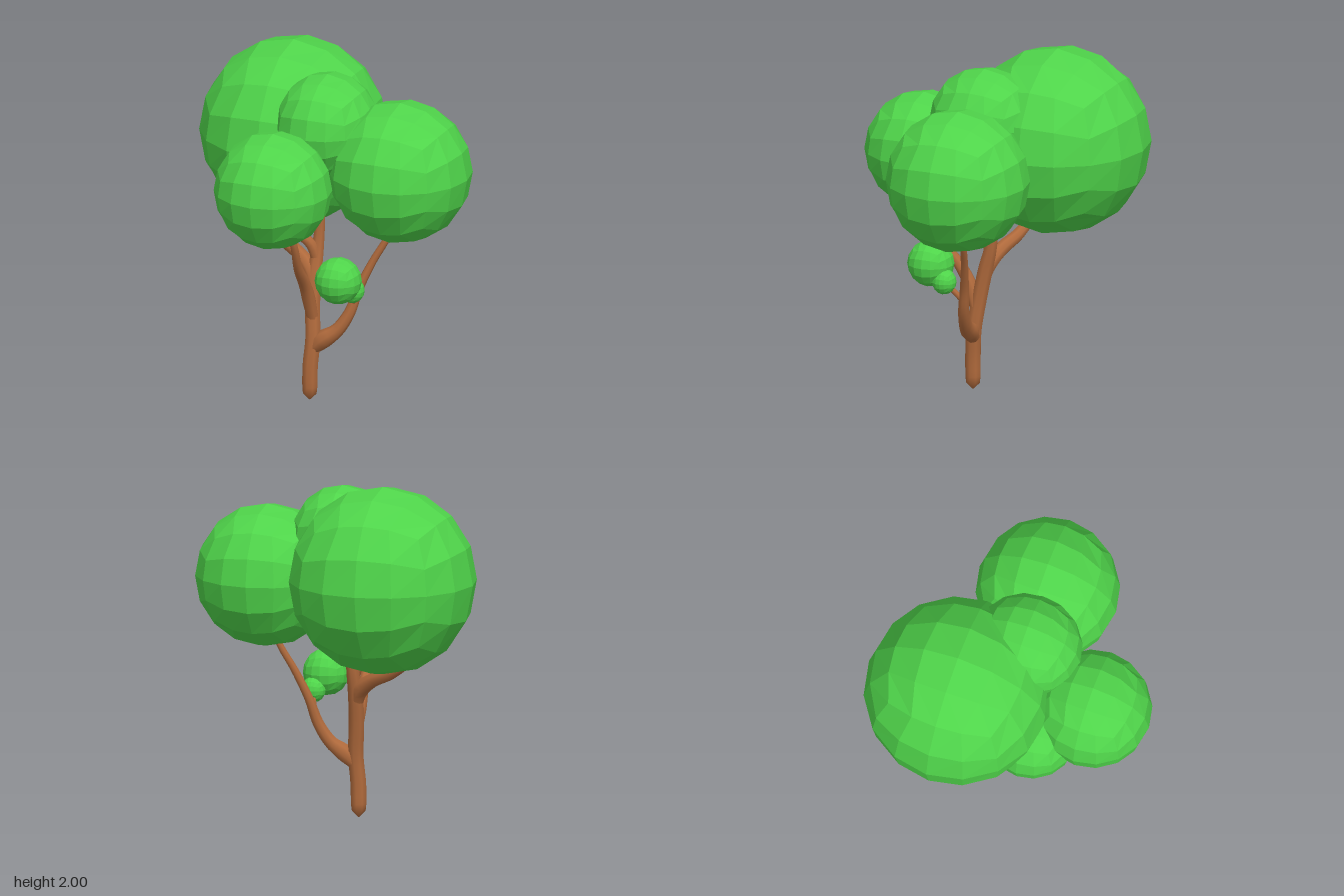
import * as THREE from 'three';
import { mergeVertices } from 'three/addons/utils/BufferGeometryUtils.js';

const leafMaterial = new THREE.MeshStandardMaterial({ color: 0x4fd44a, flatShading: true });
const barkMaterial = new THREE.MeshStandardMaterial({ color: 0xb06a3c });

// Faceted ball: a subdivided cube pushed out to a sphere
function ballGeometry(segments) {
  const geometry = new THREE.BoxGeometry(2, 2, 2, segments, segments, segments);
  const position = geometry.attributes.position;
  const v = new THREE.Vector3();
  const even = (c) => Math.tan(c * Math.PI / 4);
  for (let i = 0; i < position.count; i++) {
    v.fromBufferAttribute(position, i);
    v.set(even(v.x), even(v.y), even(v.z)).normalize();
    position.setXYZ(i, v.x, v.y, v.z);
  }
  geometry.computeVertexNormals();
  return geometry;
}

// Tapered limb through points [x, y, z, radius]
function limb(name, points) {
  const curve = new THREE.CatmullRomCurve3(points.map((p) => new THREE.Vector3(p[0], p[1], p[2])));
  const sides = 8, steps = (points.length - 1) * 4;
  const geometry = new THREE.TubeGeometry(curve, steps, 1, sides, false);
  const position = geometry.attributes.position;
  const centre = new THREE.Vector3(), v = new THREE.Vector3();
  for (let i = 0; i <= steps; i++) {
    const u = i / steps;
    curve.getPointAt(u, centre);
    const t = curve.getUtoTmapping(u) * (points.length - 1);
    const k = Math.min(Math.floor(t), points.length - 2);
    const radius = THREE.MathUtils.lerp(points[k][3], points[k + 1][3], t - k);
    for (let j = 0; j <= sides; j++) {
      const n = i * (sides + 1) + j;
      v.fromBufferAttribute(position, n).sub(centre).multiplyScalar(radius).add(centre);
      position.setXYZ(n, v.x, v.y, v.z);
    }
  }
  geometry.deleteAttribute('uv');
  geometry.deleteAttribute('normal');
  const smooth = mergeVertices(geometry, 1e-5);
  smooth.computeVertexNormals();
  const mesh = new THREE.Mesh(smooth, barkMaterial);
  mesh.name = name;
  return mesh;
}

export function createModel() {
  const tree = new THREE.Group();
  tree.name = 'tree';

  // Trunk and branches
  const wood = new THREE.Group();
  wood.name = 'wood';
  wood.add(
    limb('trunk', [
      [-0.055, 0.005, 0.125, 0.004], [-0.055, 0.012, 0.125, 0.03], [-0.055, 0.06, 0.125, 0.046],
      [-0.053, 0.2, 0.125, 0.047], [-0.042, 0.36, 0.113, 0.046], [-0.055, 0.55, 0.085, 0.046],
      [-0.06, 0.72, 0.05, 0.045], [-0.055, 0.86, 0.015, 0.038], [-0.045, 1.02, 0, 0.03],
      [-0.02, 1.4, 0.02, 0.02]]),
    limb('rightUpperBranch', [
      [-0.055, 0.66, 0.065, 0.04], [-0.085, 0.75, 0.04, 0.05], [-0.17, 0.82, 0.0, 0.042],
      [-0.3, 0.88, -0.05, 0.036], [-0.42, 0.98, -0.09, 0.028], [-0.43, 1.15, -0.15, 0.02]]),
    limb('rightInnerBranch', [
      [-0.055, 0.82, 0.03, 0.03], [-0.085, 0.91, 0.045, 0.032], [-0.16, 0.98, 0.08, 0.025],
      [-0.24, 1.06, 0.12, 0.02], [-0.3, 1.2, 0.16, 0.015]]),
    limb('frontBranch', [
      [-0.045, 0.48, 0.1, 0.035], [-0.055, 0.62, 0.145, 0.04], [-0.055, 0.72, 0.2, 0.035],
      [-0.048, 0.85, 0.31, 0.027], [-0.04, 1.03, 0.4, 0.021], [-0.08, 1.2, 0.45, 0.016]]),
    limb('leftBranch', [
      [-0.05, 0.3, 0.118, 0.035], [0.02, 0.37, 0.11, 0.055], [0.1, 0.43, 0.1, 0.04],
      [0.17, 0.54, 0.08, 0.033], [0.215, 0.68, 0.055, 0.027], [0.29, 0.85, 0.02, 0.022],
      [0.38, 1.02, -0.01, 0.019], [0.43, 1.2, -0.01, 0.014]]),
    limb('leftTwig', [
      [0.19, 0.6, 0.07, 0.018], [0.215, 0.67, 0.13, 0.016], [0.22, 0.73, 0.19, 0.013],
      [0.19, 0.8, 0.27, 0.01]])
  );
  tree.add(wood);

  // Leaf balls: name, centre, radii
  const leaves = new THREE.Group();
  leaves.name = 'leaves';
  const ball = ballGeometry(4);
  const balls = [
    ['largeBackLeaves', [-0.325, 1.46, -0.275], [0.535, 0.54, 0.535]],
    ['leftLeaves', [0.445, 1.40, -0.01], [0.41, 0.41, 0.41]],
    ['frontLeaves', [-0.135, 1.362, 0.47], [0.336, 0.338, 0.336]],
    ['topLeaves', [0.01, 1.635, 0.025], [0.29, 0.30, 0.315]],
    ['lowerRightLeaves', [-0.33, 1.22, 0.17], [0.27, 0.27, 0.27]],
    ['smallLeaves', [0.185, 0.80, 0.278], [0.134, 0.135, 0.134]],
    ['tinyLeaves', [0.228, 0.715, 0.175], [0.07, 0.074, 0.07]]
  ];
  for (const [name, centre, radii] of balls) {
    const mesh = new THREE.Mesh(ball, leafMaterial);
    mesh.name = name;
    mesh.position.set(...centre);
    mesh.scale.set(...radii);
    leaves.add(mesh);
  }
  tree.add(leaves);
  return tree;
}
